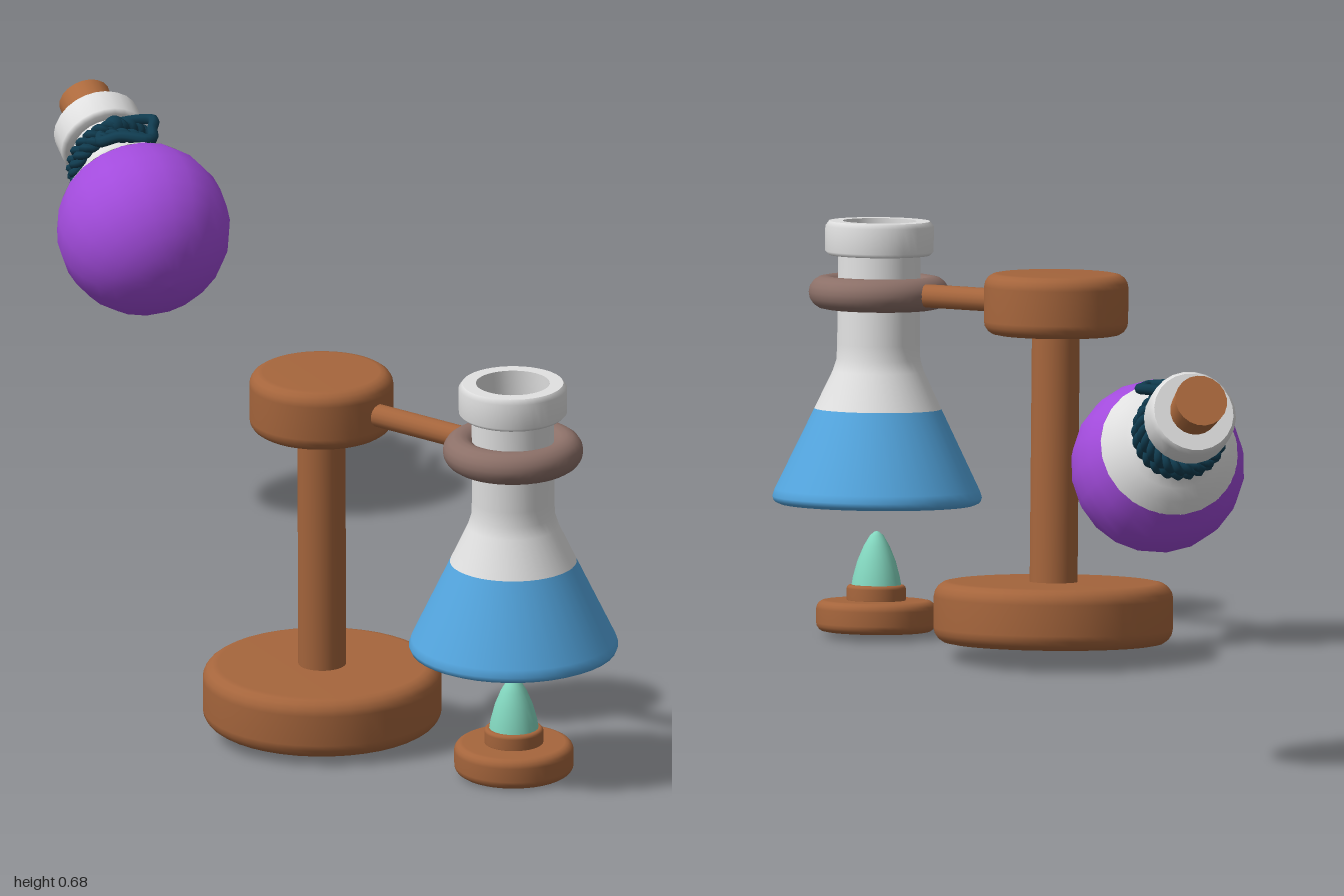
import * as THREE from 'three';

const mat = (name, color, side = THREE.FrontSide) => {
  const m = new THREE.MeshStandardMaterial({ color, side });
  m.name = name;
  return m;
};

export function createModel() {
  const wood = mat('wood', 0xa5653c);
  const cork = mat('cork', 0xb06c3e);
  const glass = mat('glass', 0xe0e0e0, THREE.DoubleSide);
  const blue = mat('blueLiquid', 0x53a5de);
  const purple = mat('purpleLiquid', 0xa24bdc);
  const iron = mat('iron', 0x8c7068);
  const flameGreen = mat('flame', 0x82d6be);
  const rope = mat('rope', 0x103c50);

  const add = (parent, name, geo, material, x = 0, y = 0, z = 0) => {
    const mesh = new THREE.Mesh(geo, material);
    mesh.name = name;
    mesh.position.set(x, y, z);
    parent.add(mesh);
    return mesh;
  };
  // repeated points in a profile keep that edge sharp
  const lathe = (pts, seg = 40) =>
    new THREE.LatheGeometry(pts.map(([r, y]) => new THREE.Vector2(r, y)), seg);
  // disc with rounded rims, standing on its local y = 0
  const disc = (r, h, b) => {
    const pts = [[0, 0], [r - b, 0]];
    for (let i = 1; i <= 4; i++) {
      const a = (i / 4) * Math.PI / 2;
      pts.push([r - b + b * Math.sin(a), b - b * Math.cos(a)]);
    }
    for (let i = 0; i <= 4; i++) {
      const a = (i / 4) * Math.PI / 2;
      pts.push([r - b + b * Math.cos(a), h - b + b * Math.sin(a)]);
    }
    pts.push([0, h]);
    return lathe(pts);
  };
  const up = new THREE.Vector3(0, 1, 0);
  const model = new THREE.Group();
  model.name = 'alchemySet';

  // Stand, flask and burner share one slight lean
  const apparatus = new THREE.Group();
  apparatus.name = 'apparatus';
  apparatus.quaternion.setFromUnitVectors(up, new THREE.Vector3(0.05, 1, 0.047).normalize());
  model.add(apparatus);

  // Stand
  const sx = 0.434, sz = 0.277, fx = 0.817, fz = 0.198;
  add(apparatus, 'standBase', disc(0.194, 0.1, 0.025), wood, sx, 0.06, sz);
  add(apparatus, 'standPost', new THREE.CylinderGeometry(0.039, 0.039, 0.44, 24), wood, sx, 0.36, sz);
  add(apparatus, 'standCap', disc(0.117, 0.1, 0.022), wood, sx, 0.561, sz);
  const from = new THREE.Vector3(sx, 0.611, sz);
  const to = new THREE.Vector3(fx - 0.088, 0.608, fz + 0.018);
  const arm = add(apparatus, 'standArm',
    new THREE.CylinderGeometry(0.019, 0.019, from.distanceTo(to), 16), wood);
  arm.position.lerpVectors(from, to, 0.5);
  arm.quaternion.setFromUnitVectors(up, to.clone().sub(from).normalize());
  add(apparatus, 'holderRing', new THREE.TorusGeometry(0.087, 0.027, 16, 40).rotateX(Math.PI / 2),
    iron, fx, 0.608, fz);

  // Flask: blue lower cone, clear upper cone, neck and lip
  const flask = new THREE.Group();
  flask.name = 'flask';
  flask.position.set(fx, 0.264, fz);
  apparatus.add(flask);
  add(flask, 'flaskLiquid', lathe([
    [0, 0], [0.158, 0], [0.158, 0], [0.167, 0.004], [0.17, 0.012], [0.166, 0.024],
    [0.103, 0.155], [0.103, 0.155], [0, 0.155],
  ]), blue);
  add(flask, 'flaskGlass', lathe([
    [0.103, 0.155], [0.074, 0.216], [0.068, 0.235], [0.067, 0.26], [0.067, 0.405], [0.067, 0.405],
    [0.082, 0.405], [0.088, 0.411], [0.088, 0.452], [0.082, 0.46], [0.082, 0.46],
    [0.06, 0.46], [0.06, 0.46], [0.06, 0.25], [0.098, 0.157],
  ]), glass);

  // Burner with a pointed flame
  add(apparatus, 'burnerBase', disc(0.097, 0.051, 0.014), wood, fx, 0.057, fz);
  add(apparatus, 'burnerCollar', disc(0.048, 0.03, 0.006), wood, fx, 0.103, fz);
  add(apparatus, 'flame', lathe([
    [0.041, 0], [0.038, 0.018], [0.031, 0.044], [0.021, 0.068], [0.011, 0.085], [0.004, 0.091], [0, 0.092],
  ], 20), flameGreen, fx, 0.128, fz);

  // Round bottle floating on its side
  const bottle = new THREE.Group();
  bottle.name = 'roundBottle';
  bottle.position.set(-0.715, 0.5, -0.335);
  bottle.quaternion.setFromUnitVectors(up, new THREE.Vector3(-0.828, 0.464, -0.315).normalize());
  model.add(bottle);
  const R = 0.141, split = 0.7 * Math.PI;
  const arc = (a0, a1, n) => Array.from({ length: n + 1 }, (_, i) => {
    const a = a0 + (a1 - a0) * i / n;
    return [R * Math.sin(a), -R * Math.cos(a)];
  });
  add(bottle, 'bottleLiquid', lathe(arc(0, split, 10), 20), purple);
  add(bottle, 'bottleGlass', lathe([
    ...arc(split, 0.86 * Math.PI, 3), [0.055, 0.145], [0.054, 0.205], [0.054, 0.205],
    [0.066, 0.205], [0.072, 0.212], [0.072, 0.252], [0.066, 0.26], [0.066, 0.26], [0.038, 0.26],
  ], 24), glass);
  add(bottle, 'cork', new THREE.CylinderGeometry(0.043, 0.037, 0.09, 20), cork, 0, 0.269, 0);

  // Rope: twisted strands wound round the neck
  for (let wrap = 0; wrap < 2; wrap++) {
    for (let s = 0; s < 2; s++) {
      const pts = [];
      for (let i = 0; i < 96; i++) {
        const a = i / 96 * Math.PI * 2, t = a * 12 + s * Math.PI;
        const r = 0.065 + 0.006 * Math.cos(t);
        const y = 0.152 + wrap * 0.022 + 0.006 * Math.sin(t) + 0.006 * Math.sin(a + wrap * 2);
        pts.push(new THREE.Vector3(r * Math.cos(a), y, r * Math.sin(a)));
      }
      add(bottle, 'neckRope', new THREE.TubeGeometry(
        new THREE.CatmullRomCurve3(pts, true), 160, 0.007, 6, true), rope);
    }
  }
  // Loose loop lying over the shoulder
  const loop = [
    [-0.85, 0.637, -0.38], [-0.81, 0.646, -0.435], [-0.78, 0.64, -0.41], [-0.742, 0.638, -0.372],
    [-0.78, 0.64, -0.345], [-0.82, 0.625, -0.335],
  ].map(p => new THREE.Vector3(...p));
  add(model, 'ropeLoop', new THREE.TubeGeometry(
    new THREE.CatmullRomCurve3(loop, true), 60, 0.009, 8, true), rope);
  add(model, 'ropeKnot', new THREE.SphereGeometry(0.018, 12, 8), rope, -0.838, 0.638, -0.38);

  return model;
}
